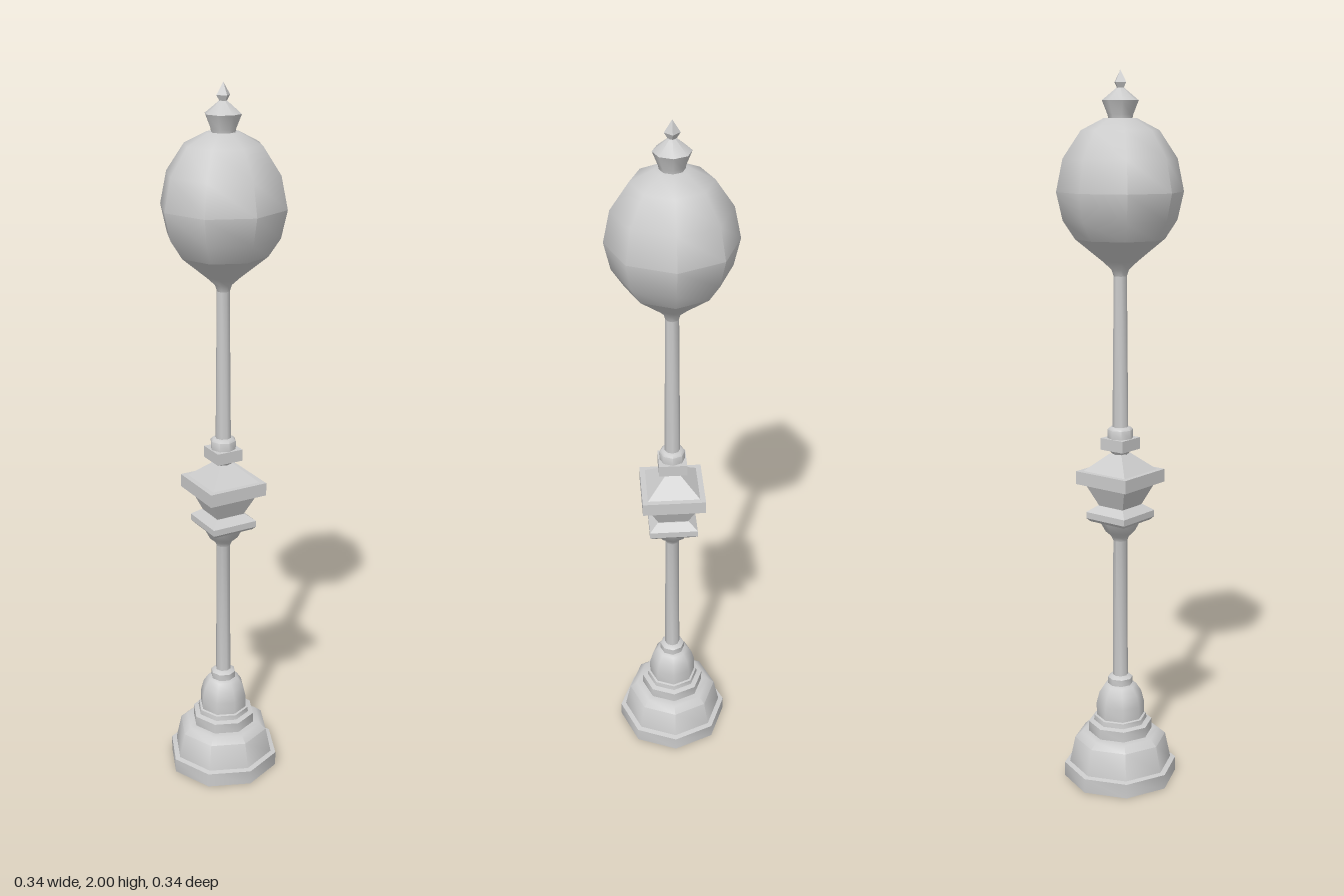
import * as THREE from 'three';
import { toCreasedNormals } from 'three/addons/utils/BufferGeometryUtils.js';

const grey = new THREE.MeshStandardMaterial({ color: 0xcccccc });
const greyOpen = new THREE.MeshStandardMaterial({ color: 0xcccccc, side: THREE.DoubleSide });

// Turned part from [radius, height] pairs, listed bottom to top
function turned(name, profile, sides = 8, phase = 0, crease = 0.84, material = grey) {
  const points = profile.map(([r, y]) => new THREE.Vector2(r, y));
  const geometry = new THREE.LatheGeometry(points, sides, phase);
  const mesh = new THREE.Mesh(toCreasedNormals(geometry, crease), material);
  mesh.name = name;
  return mesh;
}

// Square part with sides along x and z, from [half width, height] pairs
function square(name, profile) {
  return turned(name, profile.map(([w, y]) => [w * Math.SQRT2, y]), 4, Math.PI / 4, 0.3);
}

export function createModel() {
  const lamp = new THREE.Group();
  lamp.name = 'streetLamp';

  // Stepped foot, hollow and open underneath
  lamp.add(turned('base', [
    [0.163, 0], [0.163, 0.042], [0.148, 0.045], [0.132, 0.12], [0.112, 0.137],
    [0.092, 0.138], [0.092, 0.168], [0.077, 0.172], [0.075, 0.186], [0.069, 0.188],
    [0.069, 0.225], [0.061, 0.257], [0.046, 0.28], [0.036, 0.284],
    [0.036, 0.303], [0.028, 0.309], [0.021, 0.311],
  ], 8, 0, 0.84, greyOpen));

  // Lower pole flaring out under the bracket block
  lamp.add(turned('lowerPole', [
    [0.022, 0.3], [0.02, 0.715], [0.026, 0.728], [0.042, 0.742], [0.06, 0.775], [0, 0.775],
  ]));

  // Square mouldings half way up
  lamp.add(square('lowerPlate', [
    [0, 0.773], [0.06, 0.773], [0.068, 0.782], [0.068, 0.8], [0.045, 0.818], [0, 0.818],
  ]));
  lamp.add(square('bracketBlock', [
    [0.041, 0.815], [0.07, 0.882], [0.088, 0.882], [0.088, 0.919],
    [0.073, 0.919], [0.02, 0.968],
  ]));
  lamp.add(square('collar', [
    [0, 0.979], [0.039, 0.979], [0.039, 1.012], [0, 1.012],
  ]));
  lamp.add(turned('collarNeck', [[0.02, 0.95], [0.022, 0.966], [0.034, 0.979]]));
  lamp.add(turned('collarRing', [
    [0.036, 1.01], [0.036, 1.036], [0.03, 1.042], [0.02, 1.044],
  ]));

  // Upper pole and the cup holding the globe
  lamp.add(turned('upperPole', [[0.022, 1.04], [0.018, 1.47]]));
  lamp.add(turned('globeCup', [
    [0.018, 1.46], [0.024, 1.478], [0.048, 1.5], [0.122, 1.56],
  ]));

  // Globe
  lamp.add(turned('globe', [
    [0.122, 1.56], [0.155, 1.61], [0.172, 1.685], [0.154, 1.772],
    [0.105, 1.845], [0.045, 1.876], [0, 1.876],
  ]));

  // Crown and pointed finial
  lamp.add(turned('crown', [
    [0.032, 1.874], [0.034, 1.885], [0.049, 1.922], [0.01, 1.954],
  ], 8, 0, 0.84));
  lamp.add(turned('finial', [[0.009, 1.95], [0.02, 1.968], [0, 2]], 4, 0, 0.3));

  return lamp;
}
